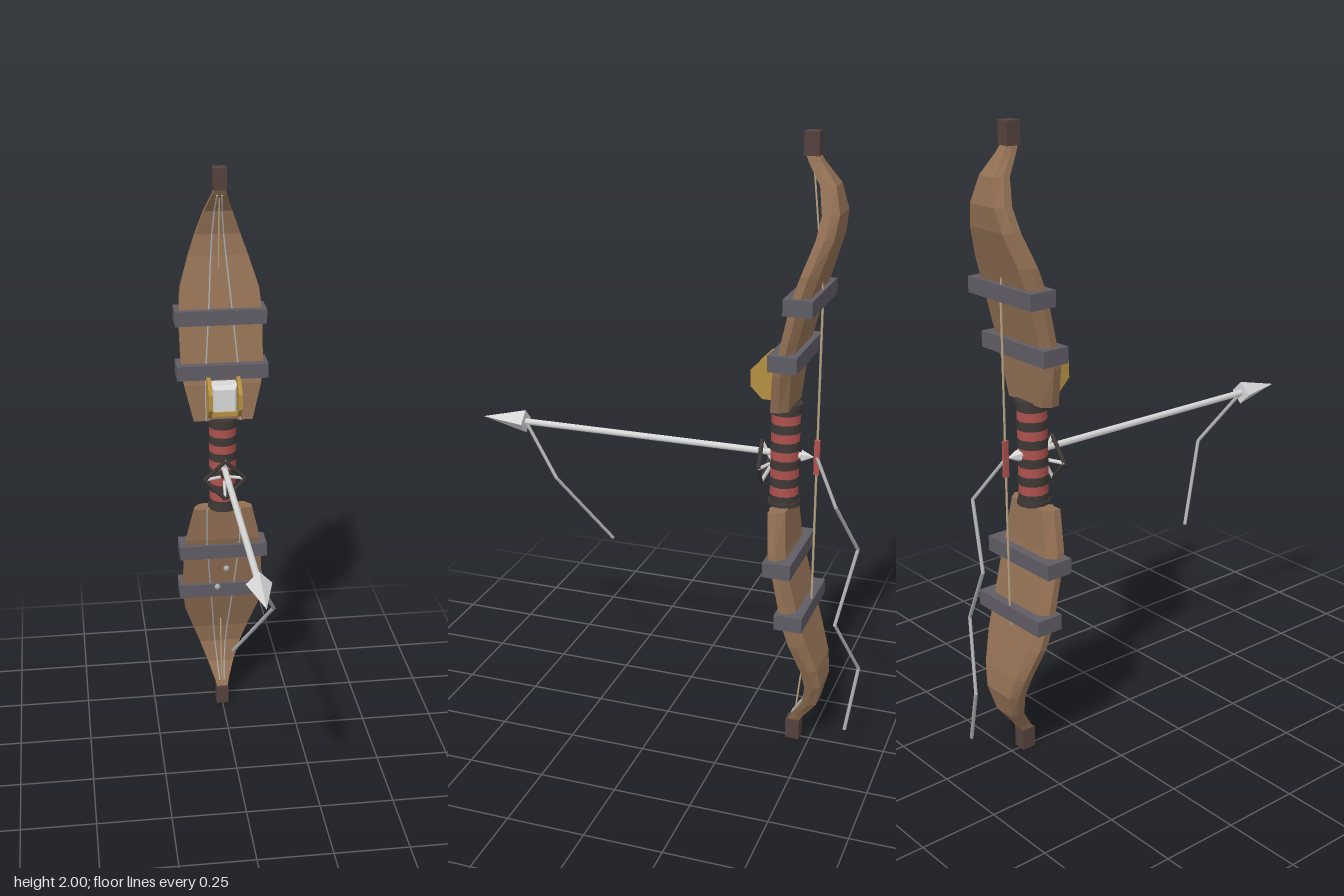
import * as THREE from 'three';

const mat = (name, color) => {
  const m = new THREE.MeshStandardMaterial({ color });
  m.name = name;
  return m;
};

// Limb stations: height above the middle, half width, centre z, half thickness
const LIMB = [
  [0.165, 0.1, -0.389, 0.026],
  [0.29, 0.13, -0.4, 0.025],
  [0.36, 0.138, -0.415, 0.022],
  [0.52, 0.14, -0.452, 0.025],
  [0.6, 0.132, -0.477, 0.025],
  [0.7, 0.1, -0.51, 0.025],
  [0.77, 0.075, -0.52, 0.025],
  [0.85, 0.047, -0.503, 0.023],
  [0.91, 0.025, -0.46, 0.02],
  [0.94, 0.017, -0.443, 0.018],
];

// Flat-faced normals
function faceted(geo) {
  const g = geo.index ? geo.toNonIndexed() : geo;
  g.computeVertexNormals();
  return g;
}

// Loft of six-cornered cross-sections, bevelled towards the back
function limbGeometry() {
  const pos = [], idx = [];
  for (const [y, w, z, h] of LIMB) {
    const b = w * 0.78;
    pos.push(-w, y, z + h, w, y, z + h, w, y, z, b, y, z - h, -b, y, z - h, -w, y, z);
  }
  const n = 6, t = (LIMB.length - 1) * n;
  for (let i = 0; i < t; i += n) {
    for (let j = 0; j < n; j++) {
      const a = i + j, b = i + (j + 1) % n;
      idx.push(a, b, b + n, a, b + n, a + n);
    }
  }
  for (let j = 1; j < n - 1; j++) idx.push(0, j + 1, j, t, t + j, t + j + 1);
  const g = new THREE.BufferGeometry();
  g.setAttribute('position', new THREE.Float32BufferAttribute(pos, 3));
  g.setIndex(idx);
  return faceted(g);
}

export function createModel() {
  const model = new THREE.Group();
  model.name = 'bow';
  const wood = mat('wood', 0x927054);
  const darkWood = mat('dark wood', 0x54423e);
  const band = mat('band grey', 0x5f5c65);
  const red = mat('wrap red', 0xae524e);
  const dark = mat('wrap black', 0x3f3936);
  const steel = mat('steel', 0xd8d8d8);
  const wire = mat('wire grey', 0xacacae);
  const gold = mat('brass', 0xb48f40);
  const cord = mat('string', 0xb8a684);

  const add = (parent, name, geo, material, x = 0, y = 0, z = 0) => {
    const m = new THREE.Mesh(geo, material);
    m.name = name;
    m.position.set(x, y, z);
    parent.add(m);
    return m;
  };
  // Straight rod between two points
  const rod = (parent, name, a, b, r, material, sides = 6) => {
    const p = new THREE.Vector3(...a), q = new THREE.Vector3(...b);
    const d = q.clone().sub(p);
    const m = add(parent, name, new THREE.CylinderGeometry(r, r, d.length(), sides), material);
    m.position.copy(p).add(q).multiplyScalar(0.5);
    m.quaternion.setFromUnitVectors(new THREE.Vector3(0, 1, 0), d.normalize());
  };
  const chain = (parent, name, pts, r, material) => {
    for (let i = 1; i < pts.length; i++) rod(parent, name, pts[i - 1], pts[i], r, material);
  };

  // Two limbs, the lower one being the upper turned half a circle
  const limbGeo = limbGeometry();
  for (const side of ['upper', 'lower']) {
    const half = new THREE.Group();
    half.name = side + 'Limb';
    half.position.y = 1;
    if (side === 'lower') half.rotation.z = Math.PI;
    model.add(half);
    add(half, 'limb', limbGeo, wood);
    add(half, 'tip', new THREE.BoxGeometry(0.044, 0.07, 0.046), darkWood, 0, 0.965, -0.445);
    add(half, 'clamp', new THREE.BoxGeometry(0.307, 0.05, 0.09), band, 0, 0.51, -0.452);
    add(half, 'clamp', new THREE.BoxGeometry(0.307, 0.05, 0.09), band, 0, 0.335, -0.41);
    // Wires running down the front of the limb
    for (const s of [-1, 1]) {
      const pts = LIMB.slice(0, 9).map(([y, , z, h]) =>
        [s * (0.058 - 0.05 * Math.max(0, y - 0.3) / 0.61), y, z + h + 0.002]);
      chain(half, 'limbWire', pts, 0.003, wire);
    }
    rod(half, 'stringEnd', [0, 0.94, -0.445], [0, 0.52, -0.49], 0.003, cord);
  }

  // Bowstring with a flat serving at the nocking point
  rod(model, 'bowstring', [0, 0.48, -0.49], [0, 1.52, -0.49], 0.004, cord);
  add(model, 'serving', new THREE.BoxGeometry(0.009, 0.115, 0.018), red, 0, 1.0, -0.49);

  // Wrapped grip with alternating stripes and end collars
  const grip = new THREE.Group();
  grip.name = 'grip';
  model.add(grip);
  const stripes = 11, pitch = 0.325 / stripes;
  for (let i = 0; i < stripes; i++) {
    const r = i % 2 ? 0.0465 : 0.047;
    add(grip, 'stripe', new THREE.CylinderGeometry(r, r, pitch, 12), i % 2 ? red : dark,
      0, 0.84 + pitch * (i + 0.5), -0.388);
  }
  for (const y of [0.84, 1.163]) {
    add(grip, 'collar', new THREE.CylinderGeometry(0.052, 0.052, 0.014, 12), dark, 0, y, -0.388);
  }

  // Sight: bevelled lens block between two brass side plates on a brass foot
  const sight = new THREE.Group();
  sight.name = 'sight';
  sight.position.set(0, 1.255, -0.352);
  model.add(sight);
  add(sight, 'lensBody', new THREE.BoxGeometry(0.086, 0.095, 0.06), steel, 0, 0, -0.012);
  const bevel = new THREE.CylinderGeometry(0.049, 0.0608, 0.024, 4);
  bevel.rotateY(Math.PI / 4).rotateX(Math.PI / 2).scale(1, 1.1, 1);
  add(sight, 'lensFront', faceted(bevel), steel, 0, 0, 0.03);
  for (const s of [-1, 1]) {
    const plate = new THREE.CylinderGeometry(0.07, 0.07, 0.013, 8);
    plate.rotateY(Math.PI / 8).rotateZ(Math.PI / 2);
    add(sight, 'sidePlate', faceted(plate), gold, s * 0.05);
  }
  add(sight, 'foot', new THREE.BoxGeometry(0.09, 0.014, 0.055), gold, 0, -0.056, -0.005);

  // Diamond-shaped arrow rest with crossed struts
  const rest = new THREE.Group();
  rest.name = 'arrowRest';
  rest.position.set(0, 0.965, -0.322);
  model.add(rest);
  const corners = [[0.07, 0, 0], [0, 0.07, 0.01], [-0.07, 0, 0], [0, -0.07, 0.01]];
  corners.forEach((c, i) => {
    rod(rest, 'frame', c, corners[(i + 1) % 4], 0.007, dark);
    rod(rest, 'strut', c, [c[0] * 0.2, c[1] * 0.2, -0.02], 0.006, steel);
  });

  // Arrow
  const arrow = new THREE.Group();
  arrow.name = 'arrow';
  model.add(arrow);
  rod(arrow, 'shaft', [0, 1, -0.46], [0, 1, 0.5], 0.011, steel, 8);
  const head = new THREE.ConeGeometry(0.039, 0.155, 4);
  head.rotateX(Math.PI / 2);
  add(arrow, 'head', faceted(head), steel, 0, 1, 0.577);
  const nock = new THREE.ConeGeometry(0.02, 0.04, 6);
  nock.rotateX(-Math.PI / 2);
  add(arrow, 'nock', faceted(nock), steel, 0, 1, -0.462);

  // Loose cords trailing from the arrowhead and from the string
  chain(model, 'headCord', [[0, 1, 0.5], [0.065, 0.84, 0.365], [-0.04, 0.605, 0.21]], 0.006, wire);
  chain(model, 'trailingCord', [
    [0, 1, -0.49], [0.065, 0.87, -0.57], [-0.052, 0.685, -0.622],
    [0.08, 0.475, -0.587], [-0.028, 0.275, -0.648], [0.04, 0.08, -0.625],
  ], 0.006, wire);

  // Small studs on the lower limb
  for (const [x, y, z] of [[0.012, 0.585, -0.39], [-0.02, 0.512, -0.392]]) {
    add(model, 'stud', new THREE.SphereGeometry(0.011, 8, 6), wire, x, y, z);
  }
  return model;
}
